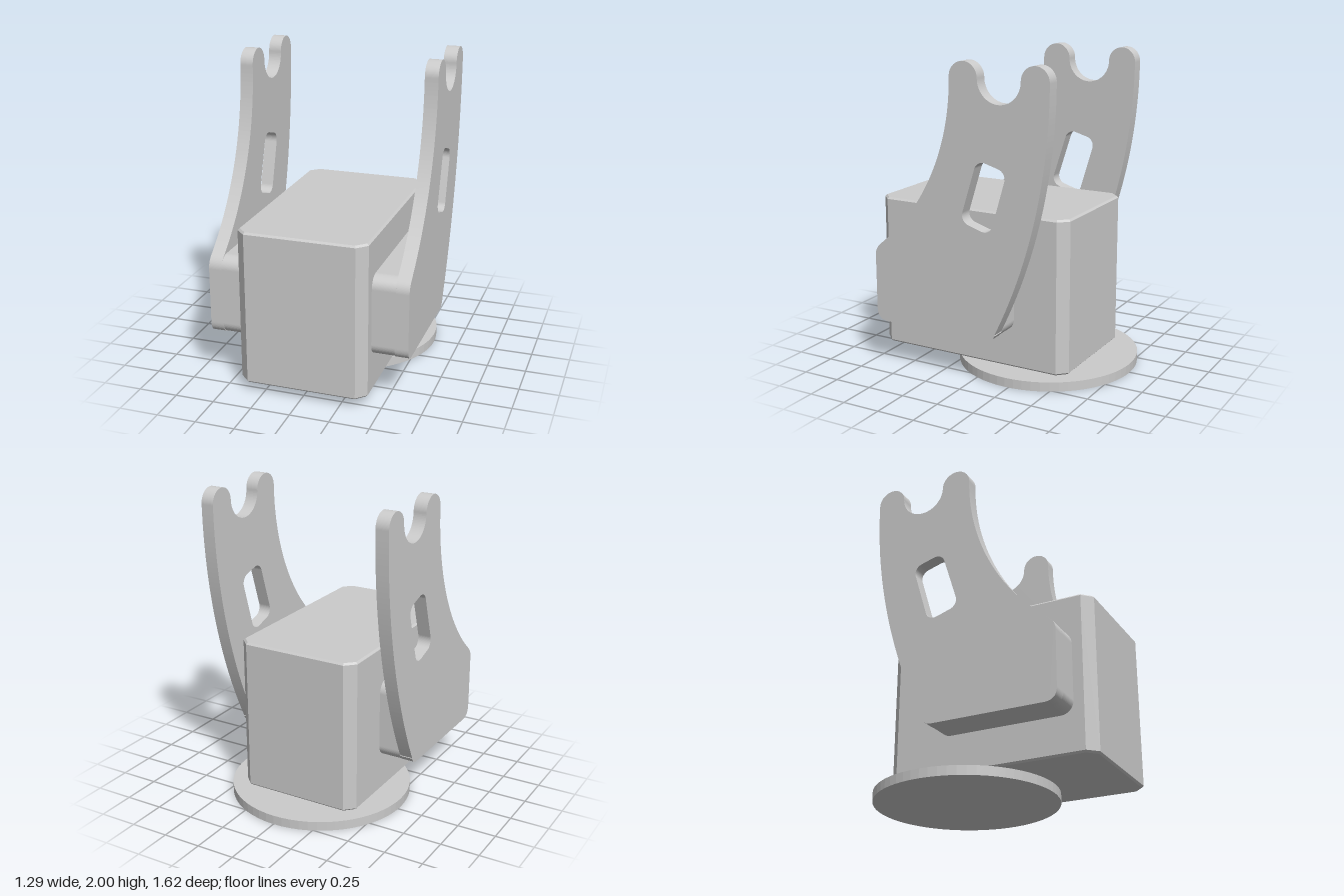
import * as THREE from 'three';

const material = new THREE.MeshStandardMaterial({ color: 0xcccccc, flatShading: true });

// Closed polygon with rounded corners, drawn into a Shape or Path
function roundedPolygon(path, corners, radius) {
  const pts = corners.map(([x, y]) => new THREE.Vector2(x, y));
  const toward = (a, b) => b.clone().sub(a).setLength(radius).add(a);
  pts.forEach((p, i) => {
    const start = toward(p, pts[(i + pts.length - 1) % pts.length]);
    const end = toward(p, pts[(i + 1) % pts.length]);
    if (i === 0) path.moveTo(start.x, start.y);
    else path.lineTo(start.x, start.y);
    // cubic approximation of a circular fillet
    const c1 = start.clone().lerp(p, 0.55), c2 = end.clone().lerp(p, 0.55);
    path.bezierCurveTo(c1.x, c1.y, c2.x, c2.y, end.x, end.y);
  });
  path.closePath();
  return path;
}

// Curved side plate outline in (z, y): swept arm, two round tips, a notch and a slot
function plateShape() {
  const s = new THREE.Shape();
  const tipY = 1.905, rearR = 3.47, frontR = 1.386;
  s.moveTo(0.6, 0.3);
  s.lineTo(-0.12, 0.3);
  s.quadraticCurveTo(-0.165, 0.3, -0.19, 0.345);
  s.absarc(-0.555 + rearR, tipY, rearR, Math.atan2(0.345 - tipY, -0.19 + 0.555 - rearR), -Math.PI, true);
  s.absarc(-0.4625, tipY, 0.0925, Math.PI, 0, true);
  s.absarc(-0.225, tipY, 0.145, Math.PI, 2 * Math.PI, false);
  s.absarc(0.016, tipY, 0.096, Math.PI, 0, true);
  s.absarc(0.112 + frontR, tipY, frontR, Math.PI, Math.PI + Math.atan2(1.095, 0.858), false);
  s.quadraticCurveTo(0.683, 0.78, 0.683, 0.735);
  s.lineTo(0.683, 0.38);
  s.quadraticCurveTo(0.683, 0.3, 0.6, 0.3);
  s.holes.push(roundedPolygon(new THREE.Path(),
    [[-0.074, 1.425], [-0.277, 1.367], [-0.16, 0.973], [0.048, 1.037]], 0.06));
  return s;
}

// Extrude a (z, y) outline so that it spans x0..x1
function sideMesh(name, shape, x0, x1) {
  const geometry = new THREE.ExtrudeGeometry(shape, { depth: x1 - x0, bevelEnabled: false, curveSegments: 24 });
  geometry.rotateY(-Math.PI / 2);
  geometry.translate(x1, 0, 0);
  const mesh = new THREE.Mesh(geometry, material);
  mesh.name = name;
  return mesh;
}

export function createModel() {
  const group = new THREE.Group();
  group.name = 'bracketStand';

  // Round base disc
  const base = new THREE.Mesh(new THREE.CylinderGeometry(0.585, 0.585, 0.06, 64), material);
  base.name = 'baseDisc';
  base.position.set(0, 0.03, -0.225);
  group.add(base);

  // Body block with chamfered uprights and a fine bevel at top and bottom
  const b = 0.012, w = 0.412 - b, d = 0.68 - b, c = 0.055;
  const outline = new THREE.Shape([
    [w - c, -d], [w, -d + c], [w, d - c], [w - c, d],
    [-w + c, d], [-w, d - c], [-w, -d + c], [-w + c, -d],
  ].map(([x, y]) => new THREE.Vector2(x, y)));
  const bodyGeometry = new THREE.ExtrudeGeometry(outline, {
    depth: 0.995 - 2 * b, bevelEnabled: true, bevelSize: b, bevelThickness: b, bevelSegments: 1,
  });
  bodyGeometry.rotateX(-Math.PI / 2);
  const body = new THREE.Mesh(bodyGeometry, material);
  body.name = 'bodyBlock';
  body.position.set(0, 0.06 + b, 0.13);
  group.add(body);

  // Side plates and the spacers that join them to the body
  const spacer = roundedPolygon(new THREE.Shape(),
    [[0.683, 0.3], [-0.195, 0.3], [-0.195, 0.82], [0.683, 0.82]], 0.08);
  const plate = plateShape();
  group.add(
    sideMesh('leftPlate', plate, 0.558, 0.643),
    sideMesh('rightPlate', plate, -0.643, -0.558),
    sideMesh('leftSpacer', spacer, 0.405, 0.56),
    sideMesh('rightSpacer', spacer, -0.56, -0.405),
  );
  return group;
}
